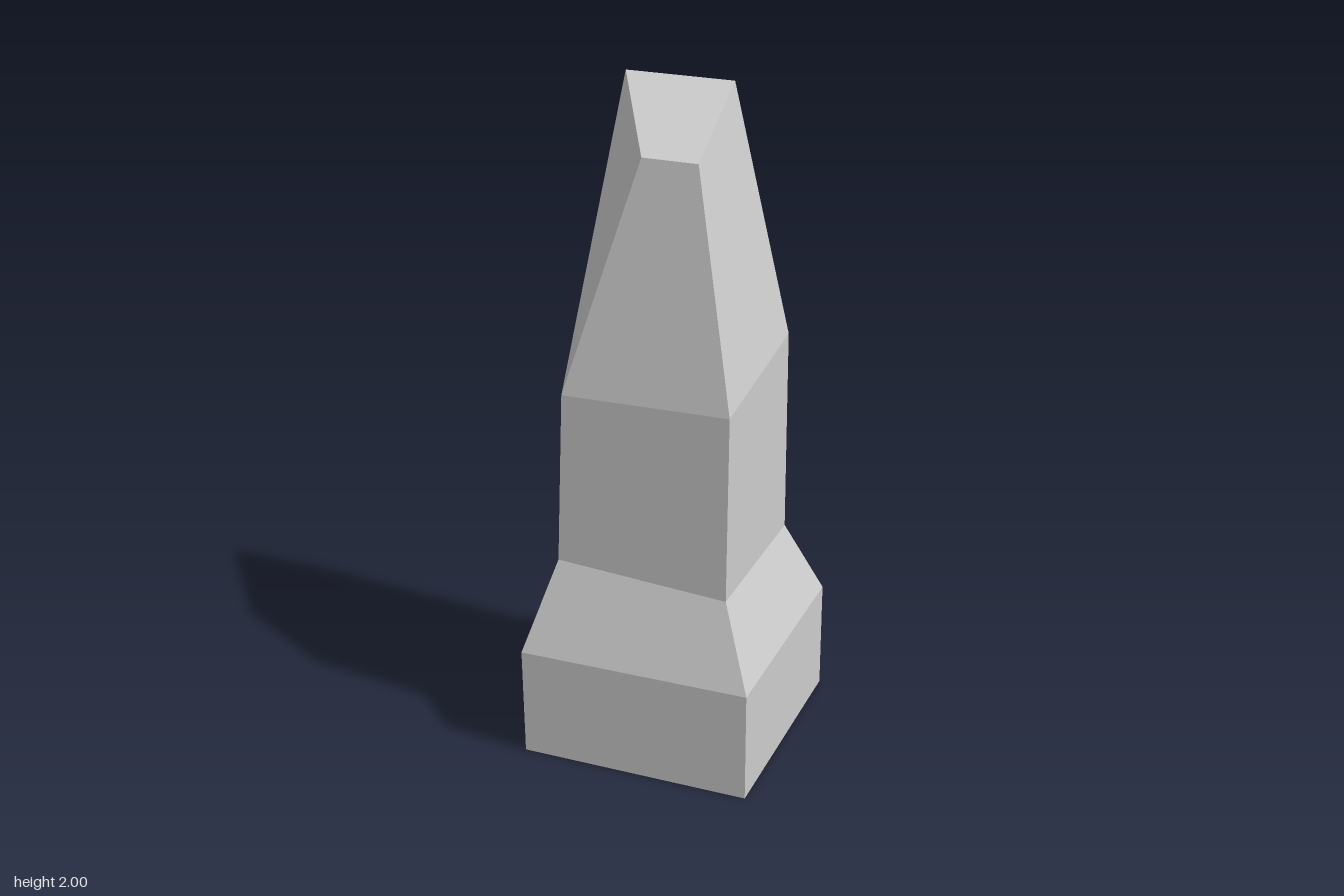
import * as THREE from 'three';

// Corner rings from bottom to top: front left-hand, front right-hand, back right-hand, back left-hand (as seen from +z)
const rings = [
  [[-0.36, 0, 0.355], [0.357, 0, 0.352], [0.357, 0, -0.362], [-0.36, 0, -0.362]],
  [[-0.36, 0.35, 0.362], [0.357, 0.35, 0.352], [0.357, 0.35, -0.362], [-0.36, 0.35, -0.362]],
  [[-0.283, 0.625, 0.247], [0.257, 0.6, 0.262], [0.257, 0.6, -0.264], [-0.283, 0.63, -0.28]],
  [[-0.26, 1.165, 0.247], [0.257, 1.175, 0.247], [0.257, 1.245, -0.258], [-0.26, 1.22, -0.258]],
  [[-0.06, 1.86, 0.115], [0.11, 1.86, 0.115], [0.08, 2, -0.25], [-0.26, 2, -0.25]],
];

// Flat-shaded quads, each with one shared normal; corners run counter-clockwise
function quadGeometry(quads) {
  const positions = [], normals = [];
  for (const quad of quads) {
    const [a, b, c, d] = quad.map((p) => new THREE.Vector3(...p));
    const normal = c.clone().sub(a).cross(d.clone().sub(b)).normalize();
    for (const p of [a, b, c, a, c, d]) {
      positions.push(p.x, p.y, p.z);
      normals.push(normal.x, normal.y, normal.z);
    }
  }
  const geometry = new THREE.BufferGeometry();
  geometry.setAttribute('position', new THREE.Float32BufferAttribute(positions, 3));
  geometry.setAttribute('normal', new THREE.Float32BufferAttribute(normals, 3));
  return geometry;
}

// Four walls between two neighbouring rings
function wallQuads(lower, upper) {
  return lower.map((corner, i) => {
    const j = (i + 1) % 4;
    // split along the diagonal that keeps the wall convex
    return [lower[j], upper[j], upper[i], corner];
  });
}

export function createModel() {
  const group = new THREE.Group();
  group.name = 'stonePillar';
  const stone = new THREE.MeshStandardMaterial({ color: 0xcccccc, side: THREE.DoubleSide });
  stone.name = 'light grey stone';

  const add = (name, quads) => {
    const mesh = new THREE.Mesh(quadGeometry(quads), stone);
    mesh.name = name;
    group.add(mesh);
  };

  // Hollow walls, open underneath
  ['plinth', 'shoulder', 'shaft', 'taperedTip'].forEach((name, i) => {
    add(name, wallQuads(rings[i], rings[i + 1]));
  });

  // Slanted cap closing the top
  add('slantedCap', [rings[4]]);
  return group;
}
